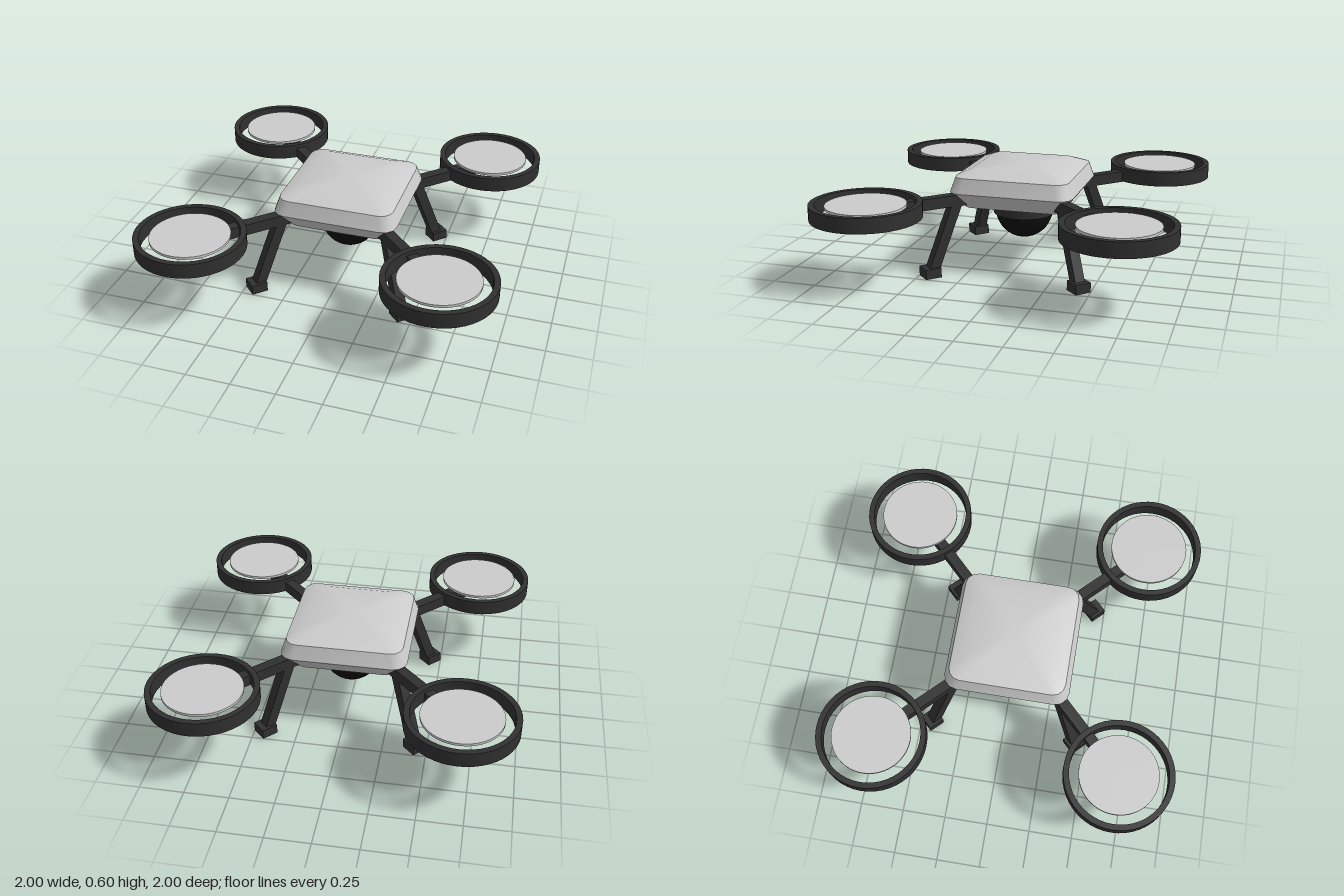
import * as THREE from 'three';
import { toCreasedNormals } from 'three/addons/utils/BufferGeometryUtils.js';

const grey = new THREE.MeshStandardMaterial({ color: 0xcccccc });
const dark = new THREE.MeshStandardMaterial({ color: 0x303030 });
const black = new THREE.MeshStandardMaterial({ color: 0x101010 });

function part(name, geometry, material, parent, x = 0, y = 0, z = 0) {
  const mesh = new THREE.Mesh(geometry, material);
  mesh.name = name;
  mesh.position.set(x, y, z);
  parent.add(mesh);
  return mesh;
}

// Stacks rounded squares [half width, height, corner radius] into a closed shell
function loftRoundedSquares(sections, cornerSteps = 3) {
  const positions = [], index = [];
  const n = 4 * (cornerSteps + 1);
  for (const [half, y, r] of sections) {
    for (let c = 0; c < 4; c++) {
      const mid = (c + 0.5) * Math.PI / 2;
      const cx = Math.sign(Math.cos(mid)) * (half - r);
      const cz = Math.sign(Math.sin(mid)) * (half - r);
      for (let s = 0; s <= cornerSteps; s++) {
        const a = (c + s / cornerSteps) * Math.PI / 2;
        positions.push(cx + r * Math.cos(a), y, cz + r * Math.sin(a));
      }
    }
  }
  const last = sections.length - 1;
  const bottom = positions.length / 3, top = bottom + 1;
  positions.push(0, sections[0][1], 0, 0, sections[last][1], 0);
  for (let j = 0; j < n; j++) {
    const k = (j + 1) % n;
    for (let i = 0; i < last; i++) {
      const a = i * n + j, b = i * n + k;
      index.push(a, a + n, b, b, a + n, b + n);
    }
    index.push(bottom, j, k, top, last * n + k, last * n + j);
  }
  const geometry = new THREE.BufferGeometry();
  geometry.setAttribute('position', new THREE.Float32BufferAttribute(positions, 3));
  geometry.setIndex(index);
  return toCreasedNormals(geometry, 0.6);
}

export function createModel() {
  const drone = new THREE.Group();
  drone.name = 'drone';

  // Bevelled body shell with a softly domed lid
  part('body', loftRoundedSquares([
    [0.285, 0.38, 0.06],
    [0.358, 0.475, 0.08],
    [0.33, 0.56, 0.07],
    [0.25, 0.595, 0.06],
  ]), grey, drone);

  // Camera pod under the body
  part('cameraMount', new THREE.CylinderGeometry(0.18, 0.18, 0.1, 32), dark, drone, 0, 0.35, 0);
  part('cameraDome', new THREE.SphereGeometry(0.168, 32, 12, 0, Math.PI * 2, Math.PI / 2, Math.PI / 2),
    black, drone, 0, 0.318, 0);

  // Shared geometries for the four corners; +x of each corner group points outward
  const armGeometry = new THREE.BoxGeometry(0.62, 0.065, 0.06);
  const legTop = new THREE.Vector2(0.435, 0.45), legEnd = new THREE.Vector2(0.6, 0.04);
  const legLine = legEnd.clone().sub(legTop);
  const legGeometry = new THREE.BoxGeometry(0.06, legLine.length(), 0.06);
  const footGeometry = new THREE.BoxGeometry(0.095, 0.057, 0.095);
  const guardProfile = [[0.307, 0.405], [0.307, 0.49], [0.275, 0.49], [0.275, 0.405], [0.307, 0.405]]
    .map(([x, y]) => new THREE.Vector2(x, y));
  const guardGeometry = toCreasedNormals(new THREE.LatheGeometry(guardProfile, 48), 0.6);
  const rotorGeometry = new THREE.CylinderGeometry(0.222, 0.222, 0.015, 48);
  const reach = 0.693 * Math.SQRT2;

  const corners = ['frontLeft', 'backLeft', 'backRight', 'frontRight'];
  corners.forEach((name, i) => {
    const corner = new THREE.Group();
    corner.name = name + 'Rotor';
    corner.rotation.y = -Math.PI / 4 + i * Math.PI / 2;
    drone.add(corner);

    part('arm', armGeometry, dark, corner, 0.69, 0.433, 0);
    const leg = part('leg', legGeometry, dark, corner,
      (legTop.x + legEnd.x) / 2, (legTop.y + legEnd.y) / 2, 0);
    leg.rotation.z = Math.atan2(legLine.x, -legLine.y);
    part('foot', footGeometry, dark, corner, 0.612, 0.0285, 0);
    part('rotorGuard', guardGeometry, dark, corner, reach, 0, 0);
    part('rotorDisc', rotorGeometry, grey, corner, reach, 0.473, 0);
  });

  return drone;
}
